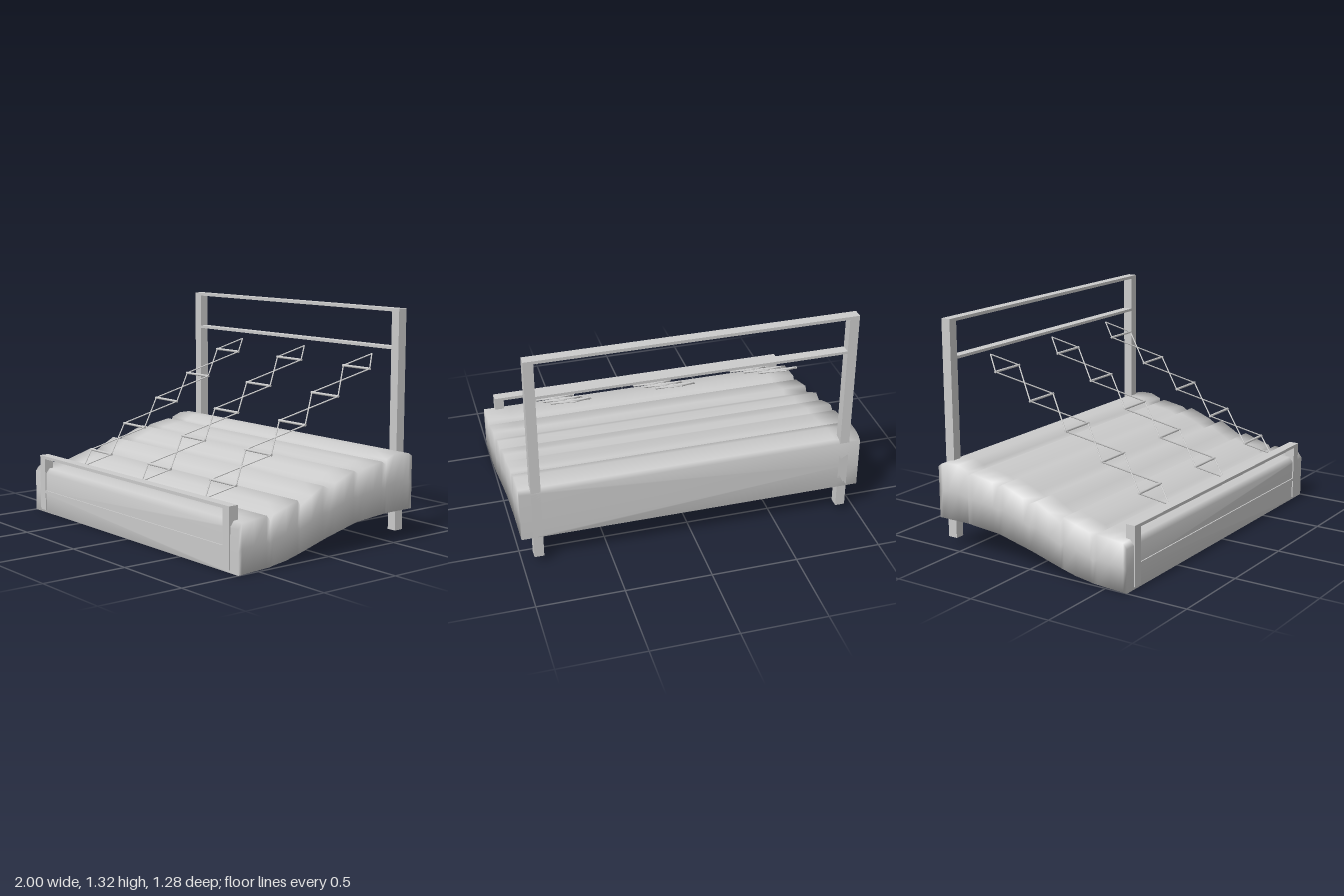
import * as THREE from 'three';

const material = new THREE.MeshStandardMaterial({ color: 0xcccccc });

function add(parent, name, geometry) {
  const mesh = new THREE.Mesh(geometry, material);
  mesh.name = name;
  parent.add(mesh);
  return mesh;
}

// Box given by its min and max corners
function box(parent, name, [x0, y0, z0], [x1, y1, z1]) {
  add(parent, name, new THREE.BoxGeometry(x1 - x0, y1 - y0, z1 - z0))
    .position.set((x0 + x1) / 2, (y0 + y1) / 2, (z0 + z1) / 2);
}

// Thin round bar between two points
function rod(parent, name, a, b, radius) {
  const dir = b.clone().sub(a);
  const mesh = add(parent, name, new THREE.CylinderGeometry(radius, radius, dir.length(), 8));
  mesh.position.copy(a).add(b).multiplyScalar(0.5);
  mesh.quaternion.setFromUnitVectors(new THREE.Vector3(0, 1, 0), dir.normalize());
}

// Sloping padded mattress: box-like cross-sections lofted from front to back
function mattressGeometry() {
  // [z, top y, bottom y], with a notch between neighbouring pads
  const stations = [
    [0.635, 0.25, 0.005], [0.612, 0.28, 0.006], [0.53, 0.287, 0.01], [0.445, 0.295, 0.014],
    [0.42, 0.262, 0.015], [0.4, 0.295, 0.02], [0.31, 0.322, 0.032], [0.23, 0.347, 0.052],
    [0.21, 0.314, 0.057], [0.13, 0.36, 0.08], [0.05, 0.403, 0.103], [0, 0.379, 0.117],
    [-0.04, 0.404, 0.126], [-0.11, 0.432, 0.143], [-0.18, 0.457, 0.16], [-0.213, 0.437, 0.167],
    [-0.25, 0.458, 0.17], [-0.33, 0.472, 0.177], [-0.395, 0.483, 0.182], [-0.425, 0.463, 0.185],
    [-0.43, 0.49, 0.185], [-0.495, 0.515, 0.185], [-0.57, 0.515, 0.185], [-0.61, 0.506, 0.185],
    [-0.635, 0.488, 0.185],
  ];
  const columns = [-1, -0.85, -0.3, 0.3, 0.85, 1];
  const positions = [], index = [];
  for (const [z, top, bottom] of stations) {
    const mid = (top + bottom) / 2;
    for (const x of columns) positions.push(x, bottom, z);
    positions.push(1, mid, z);
    for (const x of columns) positions.push(-x, top, z);
    positions.push(-1, mid, z);
  }
  const n = columns.length * 2 + 2;
  const last = (stations.length - 1) * n;
  for (let i = 0; i < last; i += n) {
    for (let j = 0; j < n; j++) {
      const a = i + j, b = i + (j + 1) % n;
      index.push(a, a + n, b + n, a, b + n, b);
    }
  }
  // Front and back closing faces
  for (let k = 0; k < n - 2; k++) {
    index.push(n - 1, k, k + 1);
    index.push(last + n - 1, last + k + 1, last + k);
  }
  const geometry = new THREE.BufferGeometry();
  geometry.setAttribute('position', new THREE.Float32BufferAttribute(positions, 3));
  geometry.setIndex(index);
  geometry.computeVertexNormals();
  return geometry;
}

// Posts and two rails of one end frame
function frame(name, z0, z1, y0, y1, rails) {
  const group = new THREE.Group();
  group.name = name;
  for (const side of [-1, 1]) {
    const x = side * 0.905;
    box(group, side > 0 ? 'leftPost' : 'rightPost', [x - 0.028, y0, z0], [x + 0.028, y1, z1]);
  }
  rails.forEach(([r0, r1], i) =>
    box(group, i ? 'lowerRail' : 'topRail', [-0.88, r0, z0], [0.88, r1, z1]));
  return group;
}

// Crossed rods and cross bars climbing a straight slope
function lattice(x) {
  const group = new THREE.Group();
  group.name = 'scissorLattice';
  const half = 0.108, count = 5;
  const point = (dx, t) => new THREE.Vector3(x + dx, 0.42 + 0.138 * t, 0.465 - 0.245 * t);
  for (let i = 0; i < count; i++) {
    rod(group, 'crossBar', point(-half - 0.004, i), point(half + 0.004, i), 0.0075);
    for (const s of [-half, half]) {
      if (i === 0) rod(group, 'endRod', point(0, -0.5), point(s, 0), 0.004);
      if (i < count - 1) rod(group, 'crossedRod', point(s, i), point(-s, i + 1), 0.004);
      else rod(group, 'endRod', point(s, i), point(0, i + 0.5), 0.004);
    }
  }
  return group;
}

export function createModel() {
  const model = new THREE.Group();
  model.name = 'bed';
  add(model, 'mattress', mattressGeometry());
  model.add(frame('headFrame', -0.635, -0.577, 0.05, 1.32, [[1.302, 1.32], [1.088, 1.104]]));
  model.add(frame('footFrame', 0.584, 0.642, 0.02, 0.36, [[0.342, 0.36], [0.128, 0.144]]));
  for (const x of [-0.515, 0.08, 0.663]) model.add(lattice(x));
  return model;
}
